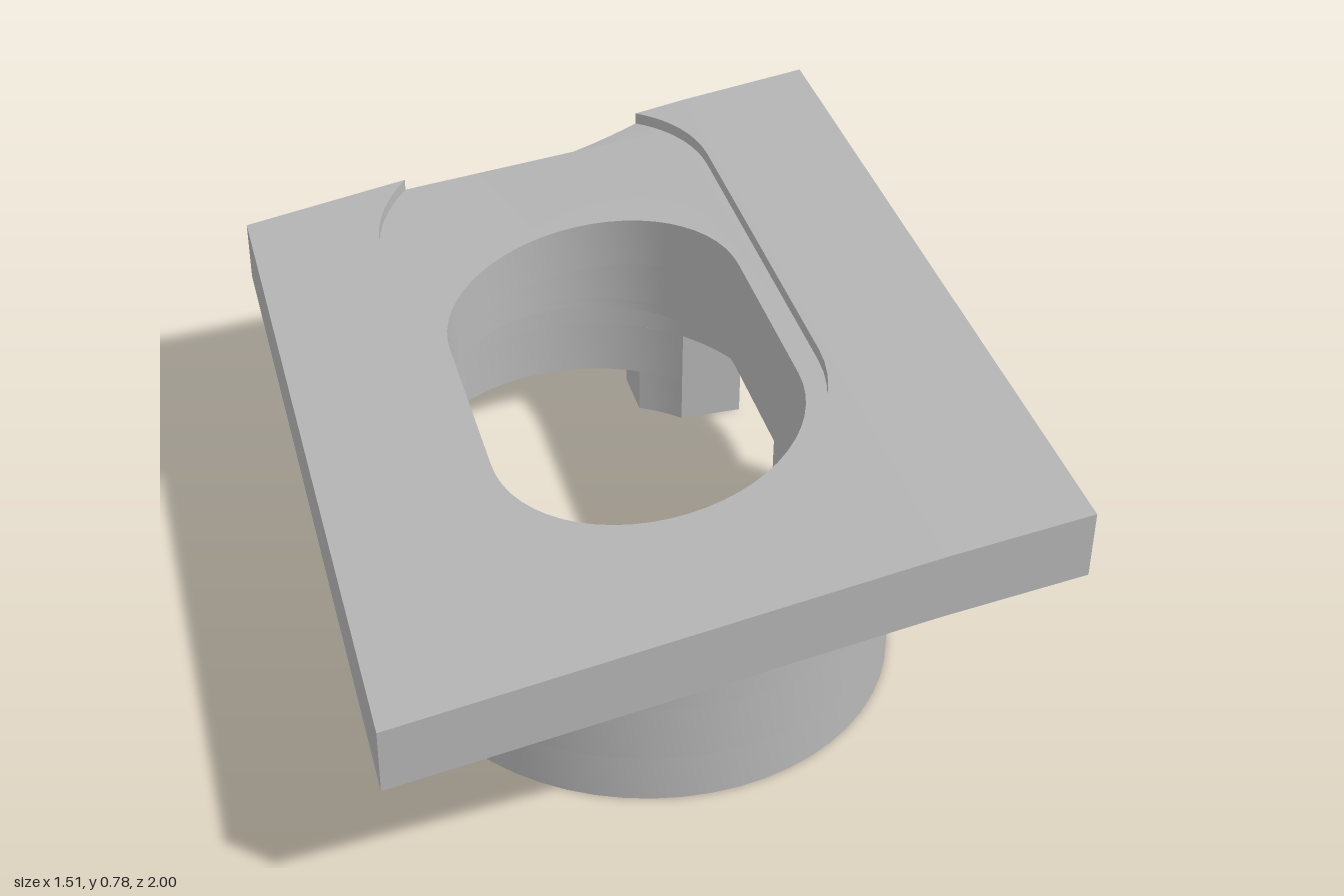
import * as THREE from 'three';
import { toCreasedNormals } from 'three/addons/utils/BufferGeometryUtils.js';

const HALF = 0.245;   // half length of the straight side of the oval collar
const BEND = 0.43;    // x where the plate slope eases slightly
const THICK = 0.16;

// Underside height of the sloping plate
const under = (x) => 0.49 + 0.179 * x - 0.03 * Math.max(0, x - BEND);

// Points on an arc; plan coordinates are (x, -z)
function arc(cx, cy, r, from, to, n = 28) {
  const pts = [];
  for (let i = 0; i <= n; i++) {
    const a = from + (to - from) * i / n;
    pts.push(new THREE.Vector2(cx + r * Math.cos(a), cy + r * Math.sin(a)));
  }
  return pts;
}

const V = (x, y) => new THREE.Vector2(x, y);
const oval = (r, half = HALF) => [
  ...arc(0, half, r, 0, Math.PI),
  ...arc(0, -half, r, Math.PI, 2 * Math.PI),
];

// Extrude a plan shape upward between two heights, each a number or a rule of (x, z)
function slab(points, hole, low, high) {
  const shape = new THREE.Shape(points);
  if (hole) shape.holes.push(new THREE.Path(hole));
  const geo = new THREE.ExtrudeGeometry(shape, { depth: 1, bevelEnabled: false });
  geo.rotateX(-Math.PI / 2);
  const p = geo.attributes.position;
  for (let i = 0; i < p.count; i++) {
    const rule = p.getY(i) < 0.5 ? low : high;
    p.setY(i, typeof rule === 'number' ? rule : rule(p.getX(i), p.getZ(i)));
  }
  return toCreasedNormals(geo, 0.5);
}

export function createModel() {
  const group = new THREE.Group();
  const grey = new THREE.MeshStandardMaterial({ color: 0xb8b8b8 });
  grey.name = 'grey';
  const add = (name, geo) => {
    const mesh = new THREE.Mesh(geo, grey);
    mesh.name = name;
    group.add(mesh);
  };

  // Collar wall, notched at the side and back near its foot
  const R = 0.58, r = 0.455;
  const sideEnd = (q) => Math.asin(0.325 / q);
  const backStart = (q) => Math.acos(0.22 / q);
  const backEnd = (q) => Math.acos(-0.33 / q);
  const longWall = (start) => {
    const run = (q) => [
      ...arc(0, HALF, q, start(q), Math.PI),
      ...arc(0, -HALF, q, Math.PI, 2 * Math.PI),
      V(q, 0.19),
    ];
    return [...run(R), ...run(r).reverse()];
  };
  const tooth = [
    ...arc(0, HALF, R, sideEnd(R), backStart(R), 8),
    ...arc(0, HALF, r, backStart(r), sideEnd(r), 8),
  ];
  add('collarFoot', slab(longWall(backEnd), null, 0, 0.12));
  add('collarTooth', slab(tooth, null, 0, 0.12));
  add('collarNotchedWall', slab(longWall(sideEnd), null, 0.12, 0.265));
  add('collarWall', slab(oval(R), oval(r), 0.265, 0.385));
  // Inner ledge where the bore narrows
  add('collarLedge', slab(oval(R), oval(0.36, 0.24), 0.385, 0.41));

  // Boss running to the back edge, its top meeting the sloping plate
  const W = 0.605;
  const boss = [V(W, 1), V(BEND, 1), V(-0.447, 1), V(-W, 1), ...arc(0, -0.22, W, Math.PI, 2 * Math.PI, 40)];
  add('boss', slab(boss, oval(0.36, 0.24), 0.41, (x) => Math.max(0.411, under(x))));

  // Outline of the shallow recess, open at the back edge
  const cx = -0.015, q = 0.43, a = Math.atan2(0.293, 0.315);
  const recess = [
    ...arc(cx, 0.707, q, a, 0, 10),
    ...arc(cx, -0.215, q, 0, -Math.PI),
    ...arc(cx, 0.707, q, Math.PI, Math.PI - a, 10),
  ];
  const bottom = (x) => under(x);
  const top = (x) => under(x) + THICK;

  // Sloping plate around the recess
  add('plate', slab(
    [V(-0.755, -1), V(BEND, -1), V(BEND, 1), ...recess, V(-0.755, 1)], null, bottom, top));
  add('plateHighEdge', slab(
    [V(BEND, -1), V(0.755, -1), V(0.755, 1), V(BEND, 1)], null, bottom, top));

  // Recess floor with the oval opening, dipping to a hollow at the back edge
  const backEdge = [];
  for (let i = 1; i < 16; i++) backEdge.push(V(-0.33 + 0.63 * i / 16, 1));
  const floorTop = (x, z) => {
    const dip = z < -0.99 ? 0.04 * Math.max(0, 1 - ((x - cx) / 0.315) ** 2) : 0;
    return top(x) - 0.03 - dip;
  };
  add('recessFloor', slab([...recess, ...backEdge], oval(0.36, 0.24), bottom, floorTop));

  return group;
}
